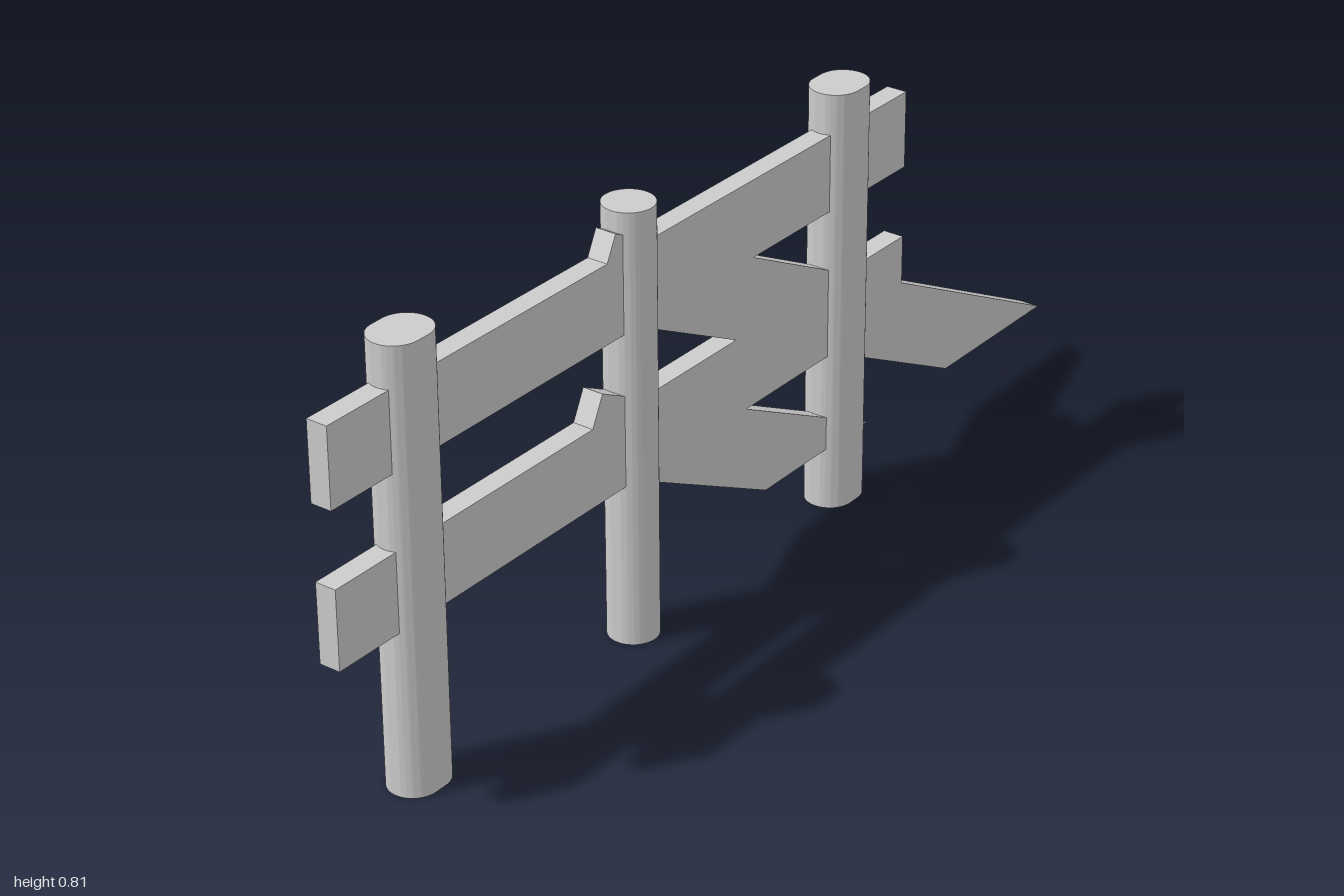
import * as THREE from 'three';
import { toCreasedNormals } from 'three/addons/utils/BufferGeometryUtils.js';

const material = new THREE.MeshStandardMaterial({ color: 0xcccccc });
const POST_HEIGHT = 0.81, POST_RADIUS = 0.046, BOARD = 0.04;

// Board cut from a [z, y] outline, centred on x = 0
function board(name, outline) {
  const shape = new THREE.Shape(outline.map(([z, y]) => new THREE.Vector2(-z, y)));
  const geometry = new THREE.ExtrudeGeometry(shape, { depth: BOARD, bevelEnabled: false });
  geometry.translate(0, 0, -BOARD / 2).rotateY(Math.PI / 2);
  const mesh = new THREE.Mesh(geometry, material);
  mesh.name = name;
  return mesh;
}

// Upright post, round or slightly stretched along z
function post(name, z, stretch) {
  const shape = new THREE.Shape();
  shape.absarc(0, stretch, POST_RADIUS, 0, Math.PI);
  shape.absarc(0, -stretch, POST_RADIUS, Math.PI, Math.PI * 2);
  shape.closePath();
  const extruded = new THREE.ExtrudeGeometry(shape, { depth: POST_HEIGHT, bevelEnabled: false, curveSegments: 24 });
  const geometry = toCreasedNormals(extruded.rotateX(-Math.PI / 2), 0.6);
  const mesh = new THREE.Mesh(geometry, material);
  mesh.name = name;
  mesh.position.z = z;
  return mesh;
}

export function createModel() {
  const fence = new THREE.Group();
  fence.name = 'brokenFence';

  // Posts
  fence.add(
    post('frontPost', 0.807, 0.012),
    post('middlePost', 0.245, 0),
    post('backPost', -0.347, 0.012)
  );

  // Level rails
  for (const [name, low, high] of [['upperRail', 0.59, 0.735], ['lowerRail', 0.307, 0.453]]) {
    fence.add(board(name, [[1, low], [1, high], [-0.525, high], [-0.525, low]]));
  }

  // Slipped planks: square cut at the top, level cut at the bottom
  fence.add(
    board('upperSlopingPlank', [[0.305, 0.78], [0.37, 0.651], [-0.68, 0.12], [-1, 0.12]]),
    board('lowerSlopingPlank', [[0.345, 0.507], [0.407, 0.382], [-0.11, 0.12], [-0.422, 0.12]])
  );
  return fence;
}
